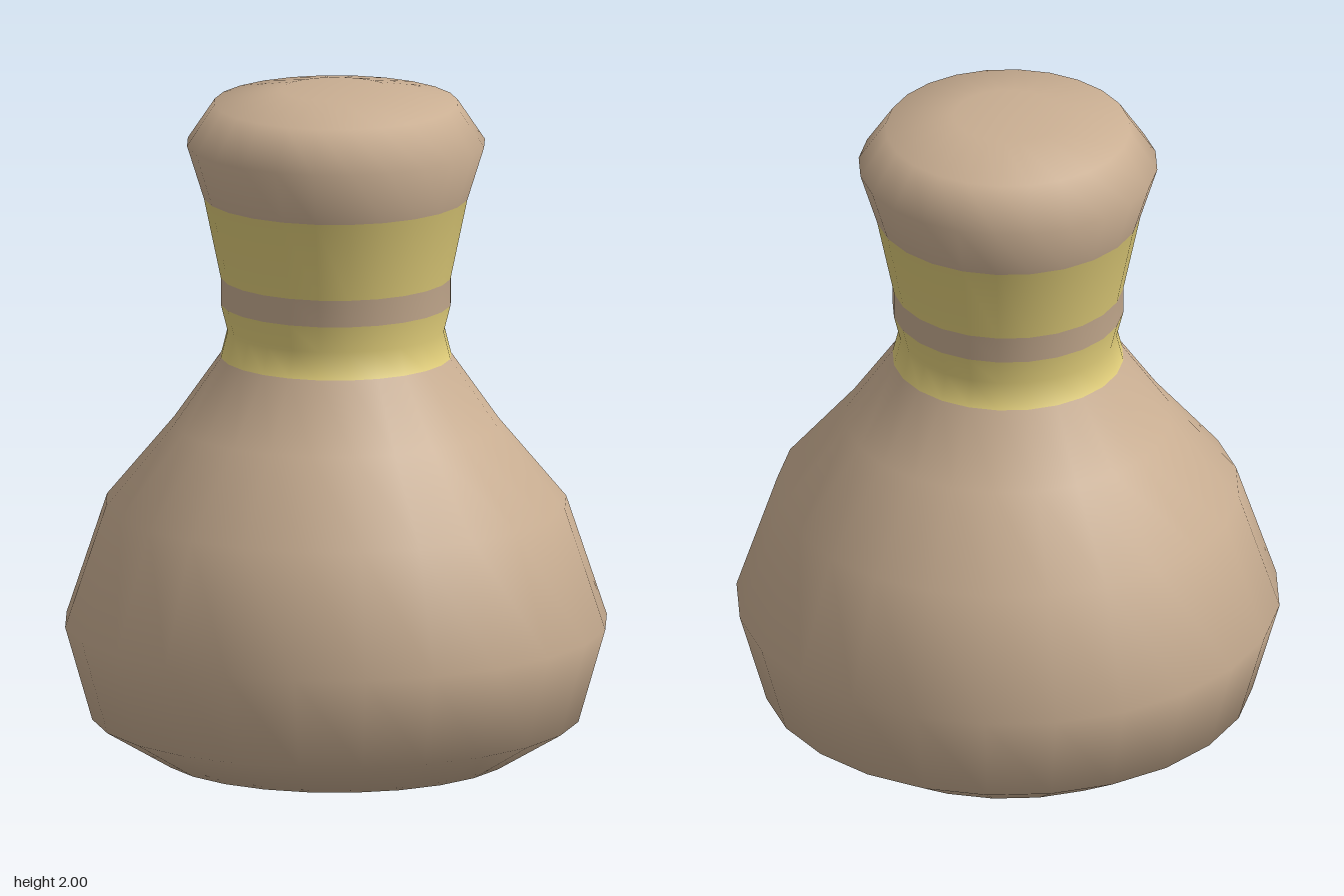
import * as THREE from 'three';

const SEGMENTS = 24;

// Radius and height, from the centre of the base to the centre of the top
const PROFILE = [
  [0, 0], [0.52, 0], [0.72, 0.12], [0.8, 0.4], [0.68, 0.76], [0.48, 1.0],
  [0.34, 1.2], [0.32, 1.28], [0.34, 1.36], [0.34, 1.44], [0.39, 1.68],
  [0.44, 1.84], [0.36, 1.96], [0.16, 2.0], [0, 2.0],
];

export function createModel() {
  const tan = new THREE.MeshStandardMaterial({ color: 0xc9ae92 });
  tan.name = 'tan';
  const gold = new THREE.MeshStandardMaterial({ color: 0xdecb78 });
  gold.name = 'gold';

  // One smooth turned surface, shared so shading flows across the bands
  const lathe = new THREE.LatheGeometry(
    PROFILE.map(([r, y]) => new THREE.Vector2(r, y)), SEGMENTS);

  // Each part takes the rings between two profile points
  const ringsBetween = (from, to) => {
    const n = PROFILE.length;
    const index = [];
    for (let i = 0; i < SEGMENTS; i++) {
      for (let j = from; j < to; j++) {
        const a = i * n + j, b = a + n, c = b + 1, d = a + 1;
        if (j > 0) index.push(a, b, d);
        if (j < n - 2) index.push(c, d, b);
      }
    }
    const geometry = new THREE.BufferGeometry();
    geometry.setAttribute('position', lathe.attributes.position);
    geometry.setAttribute('normal', lathe.attributes.normal);
    geometry.setIndex(index);
    return geometry;
  };

  const group = new THREE.Group();
  group.name = 'sack';
  const parts = [
    ['body', 0, 6, tan],
    ['lowerNeckBand', 6, 8, gold],
    ['neckGap', 8, 9, tan],
    ['upperNeckBand', 9, 10, gold],
    ['head', 10, 14, tan],
  ];
  for (const [name, from, to, material] of parts) {
    const mesh = new THREE.Mesh(ringsBetween(from, to), material);
    mesh.name = name;
    group.add(mesh);
  }
  return group;
}
